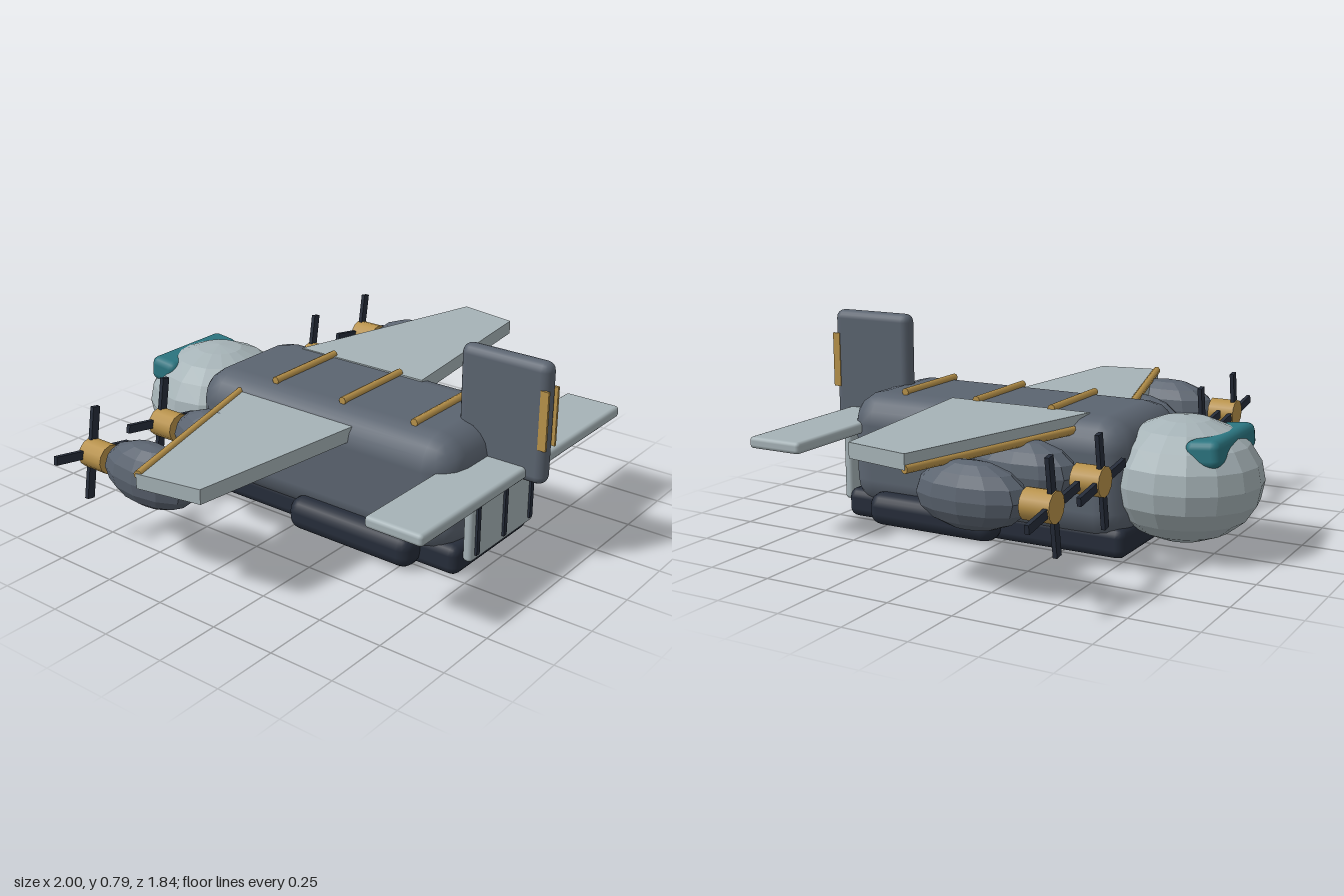
import * as THREE from 'three';
import { RoundedBoxGeometry } from 'three/addons/geometries/RoundedBoxGeometry.js';

const mat = (name, color, flatShading = false) => {
  const m = new THREE.MeshStandardMaterial({ color, flatShading });
  m.name = name;
  return m;
};

export function createModel() {
  const grey = mat('hull grey', 0x5b6470);
  const greyFlat = mat('hull grey', 0x5b6470, true);
  const light = mat('pale panel', 0xa6b3b7);
  const lightFlat = mat('pale panel', 0xa6b3b7, true);
  const dark = mat('dark navy', 0x262d3a);
  const gold = mat('brass', 0xb8924a);
  const teal = mat('teal glass', 0x2b7580);

  const model = new THREE.Group();
  model.name = 'transportPlane';

  const add = (name, geometry, material, x = 0, y = 0, z = 0, parent = model) => {
    const mesh = new THREE.Mesh(geometry, material);
    mesh.name = name;
    mesh.position.set(x, y, z);
    parent.add(mesh);
    return mesh;
  };
  // box given by its extents on each axis, optionally rounded
  const block = (name, [x0, x1], [y0, y1], [z0, z1], material, radius = 0, segments = 2) => {
    const size = [x1 - x0, y1 - y0, z1 - z0];
    const geometry = radius
      ? new RoundedBoxGeometry(...size, segments, radius)
      : new THREE.BoxGeometry(...size);
    return add(name, geometry, material, (x0 + x1) / 2, (y0 + y1) / 2, (z0 + z1) / 2);
  };
  // round bar between two points
  const bar = (name, a, b, radius, material) => {
    const from = new THREE.Vector3(...a), to = new THREE.Vector3(...b);
    const dir = to.clone().sub(from);
    const mesh = add(name, new THREE.CylinderGeometry(radius, radius, dir.length(), 8), material);
    mesh.position.copy(from).add(to).multiplyScalar(0.5);
    mesh.quaternion.setFromUnitVectors(new THREE.Vector3(0, 1, 0), dir.normalize());
    return mesh;
  };

  // body: the nose points to -z, the cargo ramp to +z
  block('fuselage', [-0.28, 0.28], [0.05, 0.508], [-0.51, 0.69], grey, 0.12);
  block('belly', [-0.25, 0.25], [0, 0.115], [-0.5, 0.71], dark, 0.035);
  const nose = add('nose', new THREE.SphereGeometry(1, 16, 10), lightFlat, 0, 0.272, -0.625);
  nose.scale.set(0.28, 0.233, 0.295);
  const glass = add('cockpitGlass', new RoundedBoxGeometry(0.395, 0.1, 0.13, 2, 0.03), teal, 0, 0.41, -0.764);
  glass.rotation.x = 0.1;
  for (const z of [-0.17, 0.15, 0.47]) bar('roofRib', [-0.18, 0.515, z], [0.18, 0.515, z], 0.015, gold);

  // cargo ramp with dark slats
  block('ramp', [-0.215, 0.215], [0.06, 0.345], [0.71, 0.748], light, 0.015);
  for (const x of [-0.18, 0, 0.18])
    block('rampSlat', [x - 0.01, x + 0.01], [0.085, 0.33], [0.74, 0.757], dark);

  // tail
  block('tailFin', [-0.035, 0.035], [0.335, 0.79], [0.555, 0.912], grey, 0.033);
  block('tailplane', [-0.665, 0.665], [0.35, 0.395], [0.615, 0.845], light, 0.015);

  for (const side of [-1, 1]) {
    const span = (a, b) => (side > 0 ? [a, b] : [-b, -a]);
    block('sponson', span(0.215, 0.335), [0.005, 0.133], [0, 0.56], dark, 0.05);
    block('finStripe', span(0.027, 0.037), [0.475, 0.695], [0.885, 0.917], gold);

    // tapered wing; the left one sits slightly higher than the right one
    const outline = [[0.16, -0.318], [1, -0.08], [0.955, 0.17], [0.17, 0.26]];
    const shape = new THREE.Shape(outline.map(([x, z]) => new THREE.Vector2(side * x, -z)));
    const wing = new THREE.ExtrudeGeometry(shape, { depth: 0.055, bevelEnabled: false });
    wing.rotateX(-Math.PI / 2);
    add('wing', wing, light, 0, side > 0 ? 0.457 : 0.41, 0);
    bar('wingSpar', [side * 0.24, 0.46, -0.295], [side * 0.995, 0.46, -0.075], 0.016, gold);

    // engines
    for (const x of [0.455, 0.807]) {
      const engine = new THREE.Group();
      engine.name = 'engine';
      engine.position.set(side * x, 0.348, 0);
      model.add(engine);
      const nacelle = add('nacelle', new THREE.SphereGeometry(1, 12, 8), greyFlat, 0, 0, -0.21, engine);
      nacelle.scale.set(0.1, 0.118, 0.212);
      const hub = add('hub', new THREE.CylinderGeometry(0.055, 0.055, 0.11, 12), gold, 0, 0, -0.47, engine);
      hub.rotation.x = Math.PI / 2;
      for (let i = 0; i < 2; i++) {
        const blade = add('propellerBlade', new THREE.BoxGeometry(0.032, 0.35, 0.016), dark, 0, 0, -0.512, engine);
        blade.rotation.z = -0.17 + i * Math.PI / 2;
      }
    }
  }
  return model;
}
